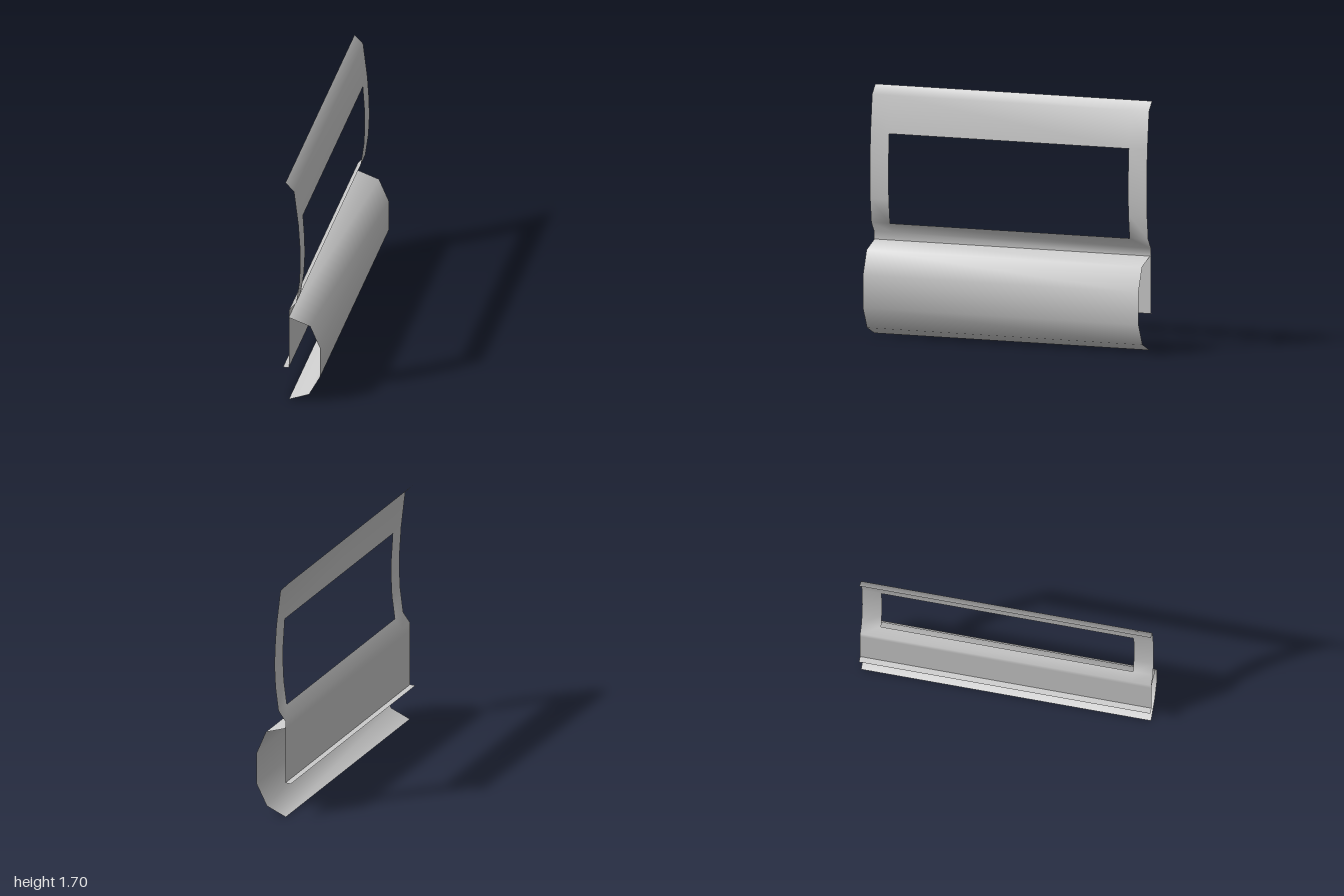
import * as THREE from 'three';

const material = new THREE.MeshStandardMaterial({ color: 0xcccccc, side: THREE.DoubleSide });

// Sweeps an [x, y] profile (top to bottom) along the z stations; isHole(row, column) leaves a cell open.
function sheet(name, profile, stations, isHole = () => false) {
  const positions = [];
  const index = [];
  const n = stations.length;
  for (const [x, y] of profile) for (const z of stations) positions.push(x, y, z);
  for (let r = 0; r < profile.length - 1; r++) {
    for (let c = 0; c < n - 1; c++) {
      if (isHole(r, c)) continue;
      const a = r * n + c, b = a + n;
      index.push(a, a + 1, b, a + 1, b + 1, b);
    }
  }
  const geometry = new THREE.BufferGeometry();
  geometry.setAttribute('position', new THREE.Float32BufferAttribute(positions, 3));
  geometry.setIndex(index);
  geometry.computeVertexNormals();
  const mesh = new THREE.Mesh(geometry, material);
  mesh.name = name;
  return mesh;
}

export function createModel() {
  const group = new THREE.Group();
  group.name = 'doorPanel';

  // Bowed upper frame with a rectangular window opening between rows 2 and 6
  const frame = [
    [-0.113, 1.7], [-0.054, 1.638], [-0.024, 1.38], [-0.012, 1.19], [-0.011, 1.06],
    [-0.017, 0.93], [-0.039, 0.765], [-0.09, 0.697], [-0.09, 0.643],
  ];
  group.add(sheet('windowFrame', frame, [-1, -0.865, 0.865, 1],
    (r, c) => c === 1 && r >= 2 && r < 6));

  // Flat inner panel
  group.add(sheet('innerPanel', [[-0.09, 0.643], [-0.09, 0.25]], [-1, 1]));

  // Narrow sill lip turned inward below the inner panel
  group.add(sheet('sillLip', [[-0.09, 0.25], [-0.13, 0.249]], [-1, 1]));

  // Rounded outer skin, open on its inner side
  const skin = [
    [-0.09, 0.643], [0.058, 0.592], [0.127, 0.428], [0.127, 0.206], [0.05, 0.058], [-0.09, 0],
  ];
  group.add(sheet('outerSkin', skin, [-0.993, 0.997]));

  return group;
}
